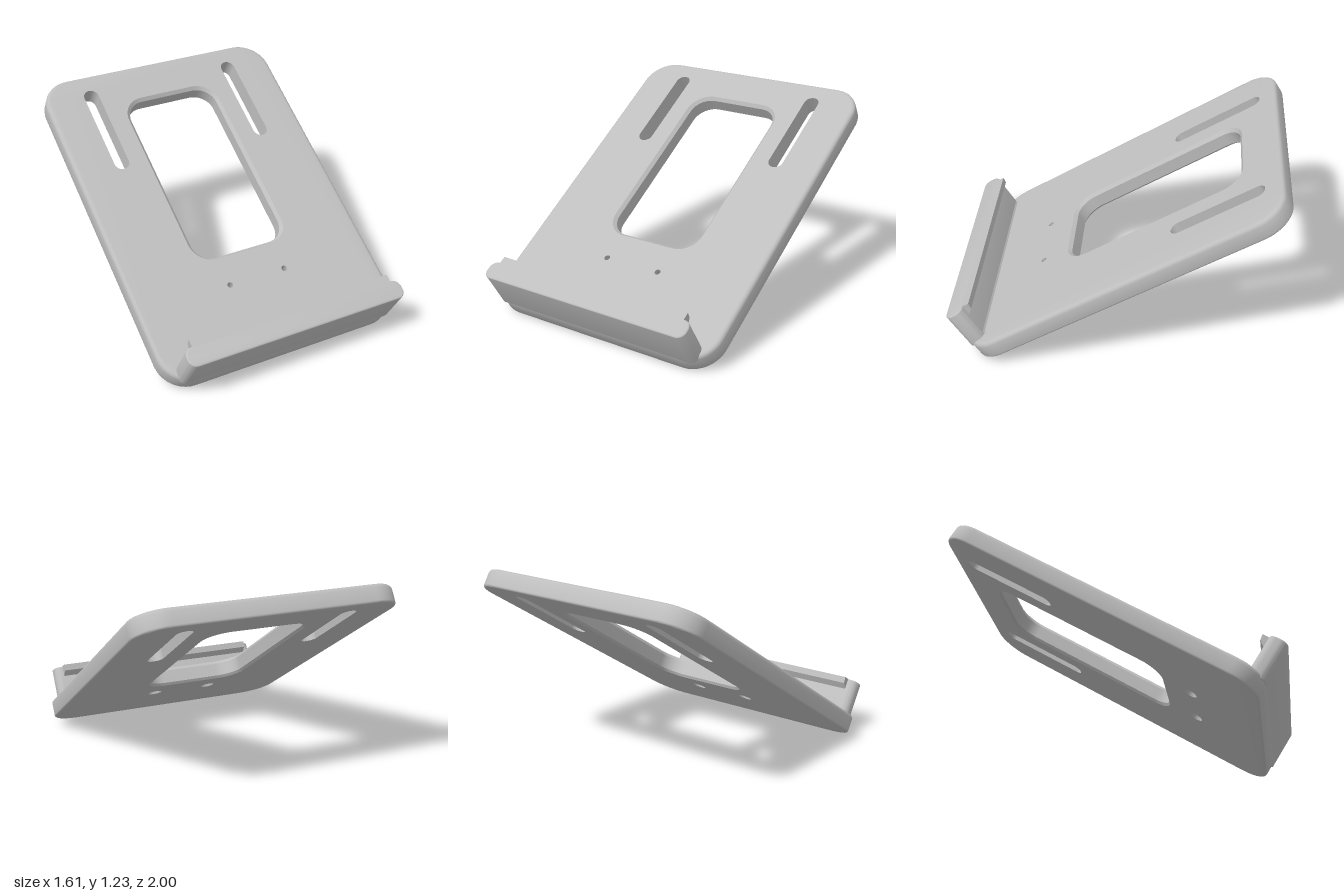
import * as THREE from 'three';
import { mergeGeometries, toCreasedNormals } from 'three/addons/utils/BufferGeometryUtils.js';

const T = 0.115;                 // plate thickness
const L = 2.152;                 // plate length along the slope
const TILT = THREE.MathUtils.degToRad(32.06);

// Counter-clockwise rounded rectangle, grown by an offset
function roundedRect({ x = 0, y, w, h, r }, grow = 0, steps = 10) {
  const points = [], radius = r + grow;
  const signs = [[1, 1], [-1, 1], [-1, -1], [1, -1]];
  signs.forEach(([sx, sy], corner) => {
    for (let i = 0; i <= steps; i++) {
      const a = (corner + i / steps) * Math.PI / 2;
      // tiny straight pieces keep slot and circle points distinct
      points.push(new THREE.Vector2(
        x + sx * (w - r + 1e-4) + radius * Math.cos(a),
        y + sy * (h - r + 1e-4) + radius * Math.sin(a)));
    }
  });
  return points;
}

// Wall through rings of [grow, height]; inward walls face the hole
function wall(rect, rings, inward = false) {
  const pos = [];
  for (let k = 0; k + 1 < rings.length; k++) {
    const [lo, hi] = [rings[k], rings[k + 1]].map(([grow, z]) =>
      roundedRect(rect, grow).map(p => [p.x, p.y, z]));
    for (let i = 0; i < lo.length; i++) {
      const j = (i + 1) % lo.length;
      const quad = [lo[i], lo[j], hi[j], lo[i], hi[j], hi[i]];
      if (inward) quad.reverse();
      pos.push(...quad.flat());
    }
  }
  const g = new THREE.BufferGeometry();
  g.setAttribute('position', new THREE.Float32BufferAttribute(pos, 3));
  return g;
}

// Flat face with holes, facing up or down
function cap(outline, holes, z, down = false) {
  const shape = new THREE.Shape(outline);
  shape.holes = holes.map(h => new THREE.Path(h));
  const indexed = new THREE.ShapeGeometry(shape);
  if (down) indexed.index.array.reverse();
  const g = indexed.toNonIndexed().translate(0, 0, z);
  g.deleteAttribute('uv');
  g.deleteAttribute('normal');
  return g;
}

// Solid bounded by an outer wall, optional openings and two caps
function solid(rect, rings, openings = []) {
  const end = (o, last) => {
    const [grow] = last ? o.rings[o.rings.length - 1] : o.rings[0];
    return roundedRect(o.rect, grow);
  };
  const outer = { rect, rings };
  const parts = [
    wall(rect, rings),
    ...openings.map(o => wall(o.rect, o.rings, true)),
    cap(end(outer, false), openings.map(o => end(o, false)), rings[0][1], true),
    cap(end(outer, true), openings.map(o => end(o, true)), rings[rings.length - 1][1]),
  ];
  return toCreasedNormals(mergeGeometries(parts), THREE.MathUtils.degToRad(35));
}

// Quarter-round edge rings, at the bottom or top of a wall
function fillet(r, z, top) {
  return [0, 1, 2, 3].map(i => {
    const a = (top ? i : 3 - i) / 3 * Math.PI / 2;
    return [r * (Math.cos(a) - 1), z + (top ? 1 : -1) * r * (Math.sin(a) - 1)];
  });
}

// Bar along x from a section in the slope and normal directions
function bar(section, halfWidth) {
  const shape = new THREE.Shape(section.map(p => new THREE.Vector2(...p)));
  const g = new THREE.ExtrudeGeometry(shape, { depth: 2 * halfWidth, bevelEnabled: false });
  g.translate(0, 0, -halfWidth);
  return g.applyMatrix4(new THREE.Matrix4().makeBasis(
    new THREE.Vector3(0, 1, 0), new THREE.Vector3(0, 0, 1), new THREE.Vector3(1, 0, 0)));
}

export function createModel() {
  const grey = new THREE.MeshStandardMaterial({ color: 0xbebebe });
  grey.name = 'grey plastic';
  const model = new THREE.Group();
  model.name = 'tiltedStand';
  const stand = new THREE.Group();
  stand.name = 'stand';
  model.add(stand);
  const add = (name, geometry) => {
    const mesh = new THREE.Mesh(geometry, grey);
    mesh.name = name;
    stand.add(mesh);
  };

  // Window with chamfered rims
  const openings = [{
    rect: { y: 1.287, w: 0.31, h: 0.598, r: 0.125 },
    rings: [[0.015, 0], [0, 0.015], [0, T - 0.02], [0.02, T]],
  }];
  // Long slots and countersunk screw holes, mirrored
  for (const side of [-1, 1]) {
    openings.push({
      rect: { x: side * 0.5, y: 1.731, w: 0.0485, h: 0.306, r: 0.048 },
      rings: [[0, 0], [0, T]],
    }, {
      rect: { x: side * 0.19, y: 0.485, w: 0.018, h: 0.018, r: 0.018 },
      rings: [[0.027, 0], [0, 0.07], [0, T]],
    });
  }
  add('backPlate', solid(
    { y: L / 2, w: 0.805, h: L / 2, r: 0.19 },
    [...fillet(0.013, 0, false), ...fillet(0.025, T, true)], openings));

  // Front ledge standing square to the plate
  add('ledge', solid(
    { y: 0.061, w: 0.73, h: 0.06, r: 0.05 },
    [[0, 0.09], ...fillet(0.008, 0.345, true)]));
  // Retaining lip with a sloped underside
  add('ledgeLip', bar([[0.1, 0.345], [0.1, 0.268], [0.115, 0.272], [0.159, 0.305], [0.166, 0.345]], 0.675));
  // Small fillet where the ledge meets the plate
  add('ledgeFillet', bar([[0.11, 0.11], [0.138, 0.11], [0.138, T], [0.126, 0.12], [0.12, 0.135], [0.11, 0.135]], 0.69));

  // Lean the whole stand back onto its lower edge
  stand.rotation.x = TILT - Math.PI / 2;
  stand.position.set(0, 0, 0.82);
  model.updateMatrixWorld(true);
  const box = new THREE.Box3().setFromObject(model, true);
  stand.position.y -= box.min.y;
  stand.position.z -= (box.min.z + box.max.z) / 2;
  return model;
}
